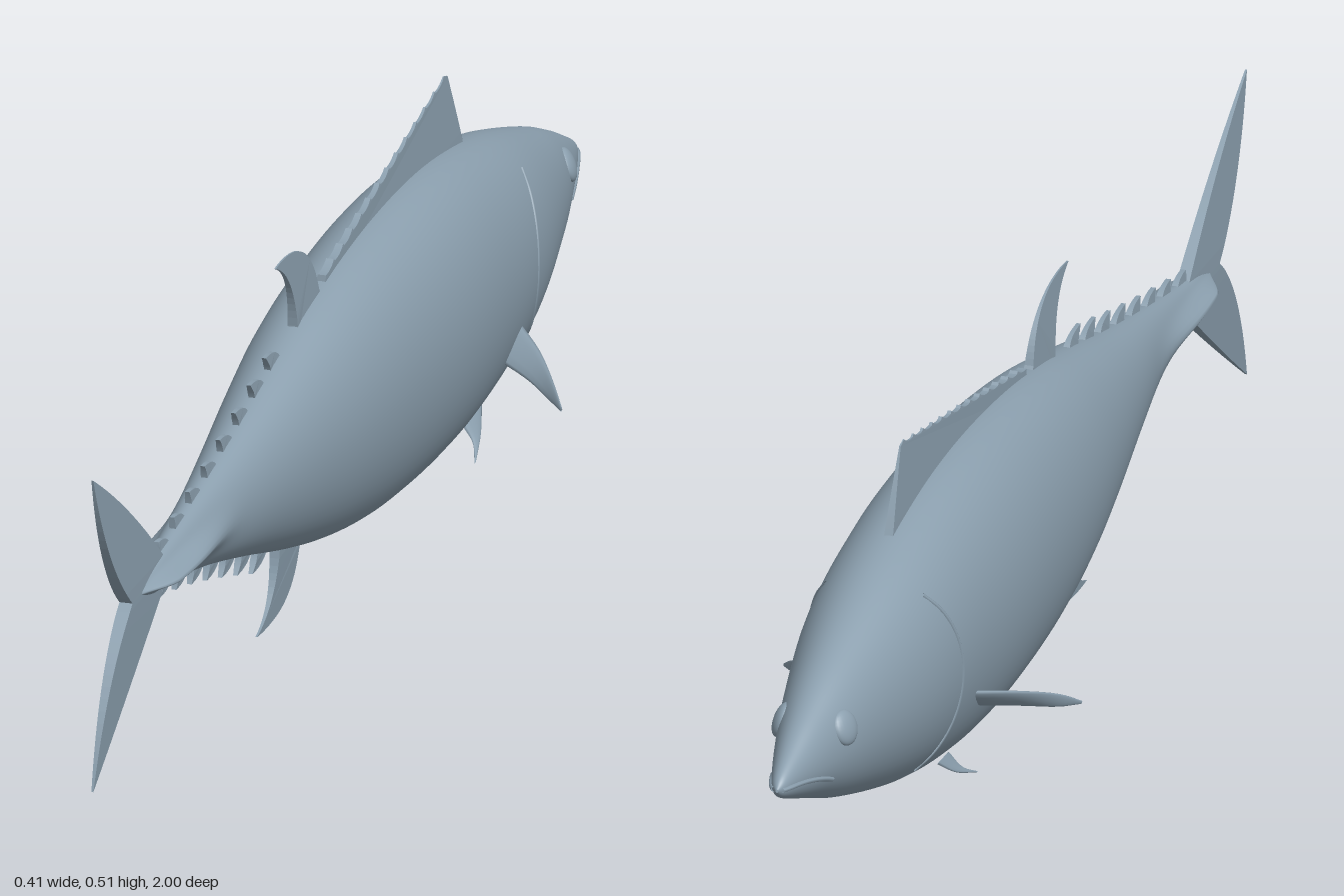
import * as THREE from 'three';

const skin = new THREE.MeshStandardMaterial({ color: 0x8b9fae });
skin.name = 'blue grey skin';
skin.side = THREE.DoubleSide;

// Body stations from snout to tail: z, top, bottom, half width
const MID = 0.235;
const stations = [
  [-1, 0.237, 0.232, 0.002], [-0.985, 0.251, 0.219, 0.012], [-0.94, 0.273, 0.2, 0.026],
  [-0.88, 0.3, 0.177, 0.042], [-0.78, 0.338, 0.138, 0.066], [-0.6, 0.39, 0.083, 0.1],
  [-0.42, 0.42, 0.048, 0.113], [-0.25, 0.428, 0.037, 0.117], [-0.06, 0.418, 0.043, 0.11],
  [0.1, 0.396, 0.066, 0.098], [0.25, 0.363, 0.101, 0.079], [0.4, 0.327, 0.143, 0.057],
  [0.55, 0.295, 0.181, 0.036], [0.68, 0.27, 0.206, 0.023], [0.77, 0.256, 0.216, 0.016],
  [0.84, 0.24, 0.23, 0.002],
];
const splines = [1, 2, 3].map((k) => new THREE.SplineCurve(stations.map((s) => new THREE.Vector2(s[0], s[k]))));

// Top, bottom and half width of the body at a given z
function section(z) {
  let lo = 0, hi = 1;
  for (let i = 0; i < 30; i++) {
    const m = (lo + hi) / 2;
    if (splines[0].getPoint(m).x < z) lo = m; else hi = m;
  }
  return splines.map((s) => s.getPoint(lo).y);
}

// Point on the body at z and angle a (0 is the left flank, 90 degrees the back)
function skinPoint(z, a) {
  const [top, bottom, w] = section(z);
  const s = Math.sin(a), c = Math.cos(a);
  const rise = THREE.MathUtils.smoothstep(z, 0.48, 0.72) * (1 - THREE.MathUtils.smoothstep(z, 0.75, 0.84));
  const keel = 0.023 * rise * Math.abs(c) ** 14;
  return new THREE.Vector3(c * w + Math.sign(c) * keel, MID + s * (s > 0 ? top - MID : MID - bottom), z);
}

// Point on the flank at z and height y
function flankPoint(z, y) {
  const [top, bottom] = section(z);
  const s = (y - MID) / (y > MID ? top - MID : MID - bottom);
  return skinPoint(z, Math.asin(THREE.MathUtils.clamp(s, -1, 1)));
}

function bodyGeometry() {
  const rows = 90, cols = 56, pos = [], index = [];
  for (let i = 0; i <= rows; i++) {
    const t = i / rows;
    const z = splines[0].getPoint(t).x;
    for (let j = 0; j < cols; j++) pos.push(...skinPoint(z, (j / cols) * Math.PI * 2).toArray());
  }
  for (let i = 0; i < rows; i++) {
    for (let j = 0; j < cols; j++) {
      const a = i * cols + j, b = i * cols + ((j + 1) % cols);
      index.push(a, b, a + cols, b, b + cols, a + cols);
    }
  }
  const g = new THREE.BufferGeometry();
  g.setAttribute('position', new THREE.Float32BufferAttribute(pos, 3));
  g.setIndex(index);
  g.computeVertexNormals();
  return g;
}

// Upright fin from a (z, y) outline, thinning from height y0 to y1
function finGeometry(shape, thick, y0, y1) {
  const g = new THREE.ExtrudeGeometry(shape, { depth: thick, bevelEnabled: false, curveSegments: 16 });
  g.translate(0, 0, -thick / 2).rotateY(-Math.PI / 2);
  const p = g.attributes.position;
  for (let i = 0; i < p.count; i++) {
    const t = THREE.MathUtils.clamp((p.getY(i) - y0) / (y1 - y0), 0, 1);
    p.setX(i, p.getX(i) * (1 - 0.85 * t));
  }
  g.computeVertexNormals();
  return g;
}

// Shape from a start point, then straight (2 numbers) or quadratic (4 numbers) moves
function outline(start, moves) {
  const s = new THREE.Shape().moveTo(...start);
  moves.forEach((m) => (m.length === 2 ? s.lineTo(...m) : s.quadraticCurveTo(...m)));
  return s;
}

// Paired fin: lens sections swept from root to tip between two edge curves
function pairedFinGeometry(front, back, thick) {
  const edgeA = new THREE.CatmullRomCurve3(front.map((p) => new THREE.Vector3(...p)));
  const edgeB = new THREE.CatmullRomCurve3(back.map((p) => new THREE.Vector3(...p)));
  const n = 12, m = 12, pos = [], index = [];
  const across = edgeB.getPoint(0).sub(edgeA.getPoint(0));
  const normal = edgeA.getPoint(1).sub(edgeA.getPoint(0)).cross(across).normalize();
  for (let i = 0; i <= n; i++) {
    const a = edgeA.getPoint(i / n), b = edgeB.getPoint(i / n);
    for (let j = 0; j < m; j++) {
      const q = (j / m) * Math.PI * 2;
      const p = a.clone().lerp(b, 0.5 - 0.5 * Math.cos(q));
      p.addScaledVector(normal, Math.sin(q) * thick * (1 - 0.8 * i / n));
      pos.push(p.x, p.y, p.z);
    }
  }
  for (let i = 0; i < n; i++) {
    for (let j = 0; j < m; j++) {
      const a = i * m + j, b = i * m + ((j + 1) % m);
      index.push(a, a + m, b, b, a + m, b + m);
    }
  }
  const g = new THREE.BufferGeometry();
  g.setAttribute('position', new THREE.Float32BufferAttribute(pos, 3));
  g.setIndex(index);
  g.computeVertexNormals();
  return g;
}

export function createModel() {
  const fish = new THREE.Group();
  fish.name = 'fish';
  const add = (name, geometry) => {
    const mesh = new THREE.Mesh(geometry, skin);
    mesh.name = name;
    fish.add(mesh);
    return mesh;
  };

  add('body', bodyGeometry());

  // Spiny first dorsal fin with a scalloped upper edge
  const spiny = outline([-0.53, 0.39], [[-0.505, 0.45, -0.475, 0.512]]);
  const spines = 13;
  for (let i = 0; i < spines; i++) {
    const edge = (t) => [-0.46 + 0.51 * t, 0.516 - 0.1 * t];
    const [z, y] = edge(i / spines), [z2, y2] = edge((i + 1) / spines);
    spiny.lineTo(z, y);
    spiny.quadraticCurveTo(z + 0.014, y - 0.011, z2 - 0.004, y2 - 0.003);
  }
  spiny.lineTo(0.05, 0.38);
  add('firstDorsalFin', finGeometry(spiny, 0.012, 0.41, 0.515));

  // Sickle-shaped second dorsal and anal fins
  add('secondDorsalFin', finGeometry(outline([0.06, 0.38], [
    [0.075, 0.405], [0.095, 0.475, 0.175, 0.487], [0.21, 0.492, 0.24, 0.487],
    [0.165, 0.46, 0.165, 0.36]]), 0.014, 0.39, 0.49));
  add('analFin', finGeometry(outline([0.13, 0.1], [
    [0.155, 0.08], [0.165, 0.015, 0.24, 0.005], [0.28, 0, 0.318, 0.003],
    [0.24, 0.025, 0.24, 0.12]]), 0.014, 0.09, 0));

  // Crescent tail, one lobe up and one down
  add('upperTailLobe', finGeometry(outline([0.7, MID], [
    [0.73, 0.258], [0.86, 0.372, 1, 0.452], [0.955, 0.31, 0.86, MID]]), 0.018, 0.25, 0.45));
  add('lowerTailLobe', finGeometry(outline([0.7, MID], [
    [0.73, 0.212], [0.86, 0.115, 1, 0.02], [0.955, 0.165, 0.86, MID]]), 0.018, 0.22, 0.02));

  // Rows of finlets along the back and belly
  for (let i = 0; i < 8; i++) {
    const size = 1 - 0.045 * i;
    for (const side of [0, 1]) {
      const z = 0.235 + 0.066 * i + side * 0.055;
      if (z > 0.72) continue;
      const d = side ? -1 : 1;
      const y = section(z)[side], rear = section(z + 0.035)[side];
      const shape = outline([z - 0.005, y - 0.008 * d], [
        [z, y], [z + 0.012, y + 0.014 * d * size, z + 0.052 * size, y + 0.013 * d * size],
        [z + 0.036, rear + 0.006 * d, z + 0.034, rear - 0.008 * d]]);
      add(side ? 'lowerFinlet' : 'upperFinlet', finGeometry(shape, 0.009, y, y + 0.03 * d));
    }
  }

  // Features found on both flanks
  for (const side of [1, -1]) {
    const label = side > 0 ? 'left' : 'right';
    const flip = ([x, y, z]) => [x * side, y, z];
    add(label + 'PectoralFin', pairedFinGeometry(
      [[0.095, 0.18, -0.485], [0.145, 0.163, -0.425], [0.185, 0.14, -0.365], [0.205, 0.121, -0.335]].map(flip),
      [[0.09, 0.14, -0.43], [0.14, 0.131, -0.395], [0.18, 0.12, -0.36], [0.203, 0.117, -0.335]].map(flip), 0.006));
    add(label + 'PelvicFin', pairedFinGeometry(
      [[0.05, 0.066, -0.47], [0.062, 0.04, -0.43], [0.073, 0.019, -0.375]].map(flip),
      [[0.044, 0.056, -0.405], [0.06, 0.036, -0.4], [0.073, 0.018, -0.37]].map(flip), 0.004));

    // Low domed eye
    const eye = add(label + 'Eye', new THREE.SphereGeometry(0.024, 24, 16));
    const at = flankPoint(-0.845, 0.268);
    eye.position.set((at.x - 0.003) * side, at.y, at.z);
    eye.scale.x = 0.45;
    eye.rotation.set(0, 0.25 * side, 0.35 * side);

    // Lip line and gill cover edge, half sunk into the skin
    const ridge = (name, points, r) => {
      points.forEach((p) => p.setX(p.x * side));
      add(name, new THREE.TubeGeometry(new THREE.CatmullRomCurve3(points), 32, r, 6));
    };
    const steps = [...Array(9).keys()].map((i) => i / 8);
    ridge(label + 'Lip', steps.map((t) => flankPoint(-0.995 + 0.115 * t, 0.234 - 0.026 * t * t)), 0.0035);
    ridge(label + 'GillEdge', steps.map((t) => {
      const p = skinPoint(-0.585 + 0.05 * Math.sin(t * Math.PI), 0.85 - 1.85 * t);
      return p.setX(p.x - 0.001);
    }), 0.003);
  }
  return fish;
}
